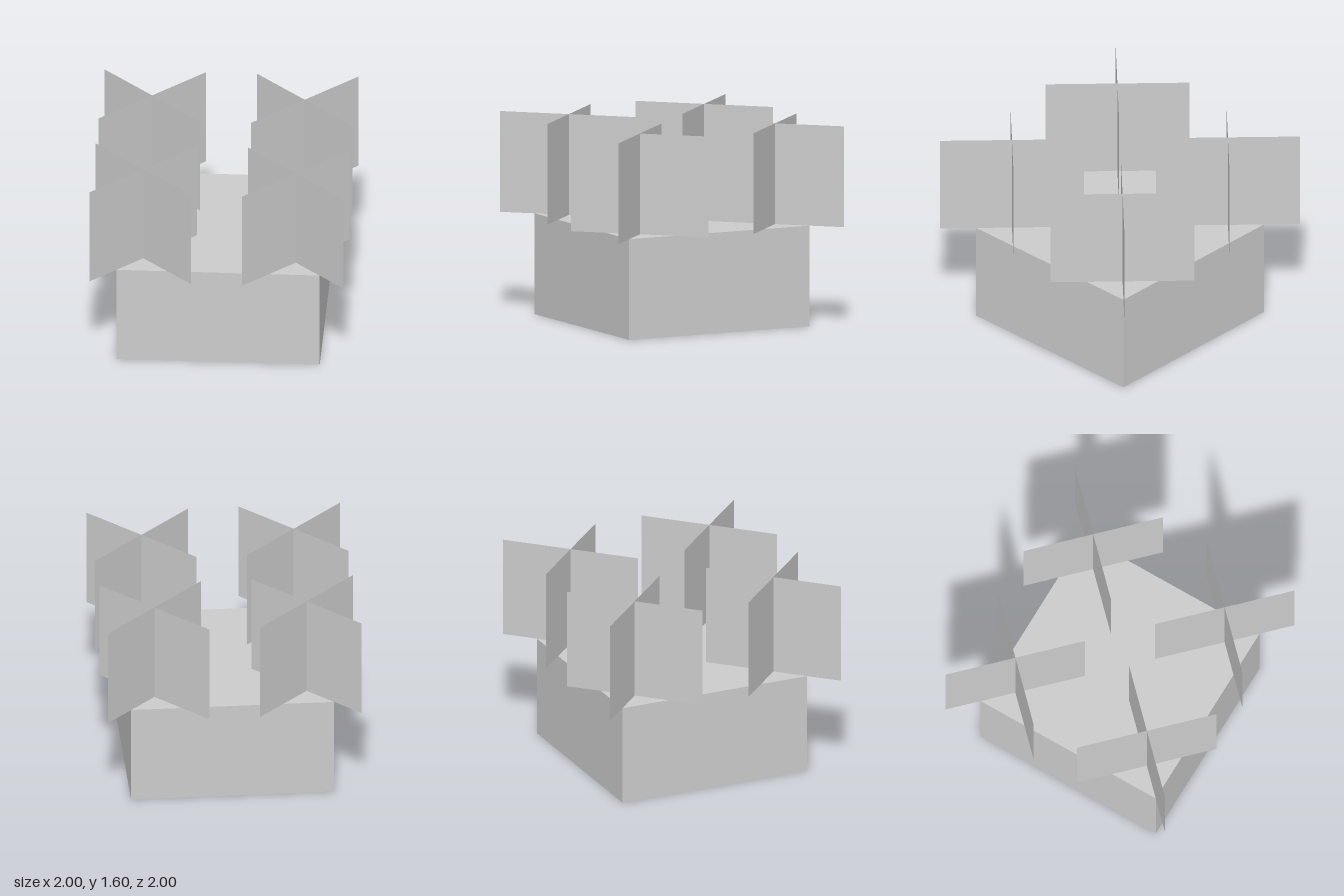
import * as THREE from 'three';

export function createModel() {
  const model = new THREE.Group();
  model.name = 'planter';

  const grey = new THREE.MeshStandardMaterial({ color: 0xcccccc, side: THREE.DoubleSide });
  grey.name = 'light grey';

  // Solid block standing on the ground
  const block = new THREE.Mesh(new THREE.BoxGeometry(1.6, 0.8, 1.6), grey);
  block.name = 'block';
  block.position.y = 0.4;
  model.add(block);

  // Crossed upright sheets, one pair over each corner
  const sheet = new THREE.PlaneGeometry(0.8 * Math.SQRT2, 0.8);
  for (const x of [-0.6, 0.6]) {
    for (const z of [-0.6, 0.6]) {
      const cross = new THREE.Group();
      cross.name = 'crossedSheets';
      cross.position.set(x, 1.2, z);
      for (const turn of [-1, 1]) {
        const mesh = new THREE.Mesh(sheet, grey);
        mesh.name = 'sheet';
        mesh.rotation.y = turn * Math.PI / 4;
        cross.add(mesh);
      }
      model.add(cross);
    }
  }
  return model;
}
